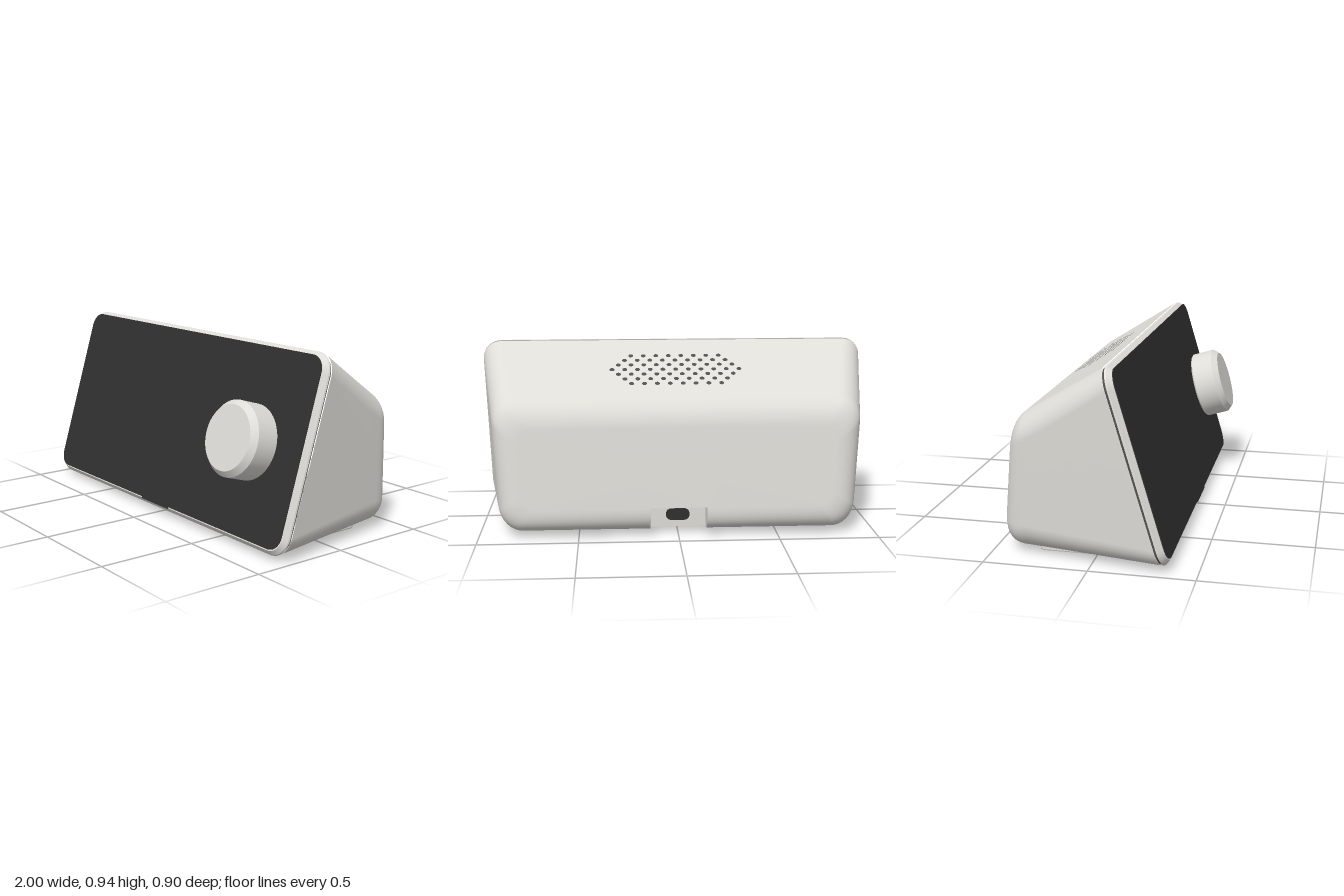
import * as THREE from 'three';
import { mergeGeometries, toCreasedNormals } from 'three/addons/utils/BufferGeometryUtils.js';

const mat = (name, color, side = THREE.FrontSide) => {
  const m = new THREE.MeshStandardMaterial({ color, side });
  m.name = name;
  return m;
};

// Rounded-rectangle cross-section between a bottom and a top point, each [z, y]
function ring(B, T, W, R) {
  const h = Math.hypot(T[0] - B[0], T[1] - B[1]);
  const flat = [];
  for (const x of [-0.53, -0.16, 0.16, 0.53]) flat.push([x, 0]);
  const corners = [[W - R, R, -90], [W - R, h - R, 0], [R - W, h - R, 90], [R - W, R, 180]];
  for (const [cx, cy, start] of corners) {
    for (let i = 0; i <= 8; i++) {
      const a = (start + i * 11.25) * Math.PI / 180;
      flat.push([cx + R * Math.cos(a), cy + R * Math.sin(a)]);
    }
  }
  return flat.map(([x, v]) => new THREE.Vector3(x,
    B[1] + (T[1] - B[1]) * v / h, B[0] + (T[0] - B[0]) * v / h));
}

// Skin over rings ordered front to back
function loft(rings, { skip = () => false, capFront = false, capBack = false } = {}) {
  const n = rings[0].length, pts = rings.flat(), idx = [];
  for (let i = 0; i < rings.length - 1; i++) {
    for (let j = 0; j < n; j++) {
      if (skip(i, j)) continue;
      const k = (j + 1) % n, a = i * n + j, b = i * n + k, d = a + n, c = b + n;
      idx.push(a, d, b, b, d, c);
    }
  }
  const cap = (row, flip) => {
    const mid = new THREE.Vector3();
    rings[row].forEach(p => mid.addScaledVector(p, 1 / n));
    const m = pts.push(mid) - 1;
    for (let j = 0; j < n; j++) {
      const a = row * n + j, b = row * n + (j + 1) % n;
      idx.push(m, flip ? b : a, flip ? a : b);
    }
  };
  if (capFront) cap(0, false);
  if (capBack) cap(rings.length - 1, true);
  const g = new THREE.BufferGeometry().setFromPoints(pts);
  g.setIndex(idx);
  g.computeVertexNormals();
  return g;
}

function roundedRect(w, h, r) {
  const s = new THREE.Shape(), q = Math.PI / 2;
  s.absarc(w / 2 - r, r - h / 2, r, -q, 0);
  s.absarc(w / 2 - r, h / 2 - r, r, 0, q);
  s.absarc(r - w / 2, h / 2 - r, r, q, 2 * q);
  s.absarc(r - w / 2, r - h / 2, r, 2 * q, 3 * q);
  return s;
}

const mix = (a, b, t) => [a[0] + (b[0] - a[0]) * t, a[1] + (b[1] - a[1]) * t];
const bez = (a, b, c, t) => mix(mix(a, b, t), mix(b, c, t), t);

export function createModel() {
  const model = new THREE.Group();
  const shell = mat('warm white plastic', 0xdfddd8);
  const inner = mat('warm white inside', 0xdfddd8, THREE.DoubleSide);
  const black = mat('black panel', 0x303030);
  const grey = mat('dark grey', 0x50504e);
  const add = (name, geo, material, parent = model) => {
    const m = new THREE.Mesh(geo, material);
    m.name = name;
    parent.add(m);
    return m;
  };

  // Housing: straight rows, then a rounded turn into the back face
  const B0 = [0.335, 0.025], T0 = [0.06, 0.932];
  const B1 = [-0.33, 0.025], Bc = [-0.461, 0.025], B2 = [-0.447, 0.155];
  const T1 = [-0.31, 0.703], Tc = [-0.395, 0.651], T2 = [-0.405, 0.552];
  const rings = [];
  for (const t of [0, 0.083, 0.293, 0.55, 0.8]) {
    rings.push(ring(mix(B0, B1, t), mix(T0, T1, t), 1, 0.1 + 0.03 * t));
  }
  for (let i = 0; i <= 10; i++) {
    const s = i / 10;
    rings.push(ring(bez(B1, Bc, B2, s), bez(T1, Tc, T2, s),
      bez([1, 0], [1, 0], [0.87, 0], s)[0], 0.13 - 0.05 * s));
  }
  // Sides draw in with distance from the sloping front
  for (const p of rings.flat()) {
    const d = (0.335 - p.z) * 0.957 + (0.025 - p.y) * 0.289;
    p.x *= 1 - 0.16 * d;
  }
  const openings = (i, j) => (i === 1 && j < 3) || (i >= 5 && j === 1);
  add('housing', loft(rings, { skip: openings, capBack: true }), shell);

  // Long pocket in the underside, open at the bottom
  const pocket = new THREE.BoxGeometry(1.042, 0.14, 0.142);
  const faces = Array.from(pocket.index.array);
  faces.splice(18, 6);
  pocket.setIndex(faces);
  pocket.clearGroups();
  add('undersidePocket', pocket, inner).position.set(0, 0.095, 0.21);

  // Socket notch at the bottom of the back
  const notch = new THREE.Group();
  notch.name = 'socketNotch';
  model.add(notch);
  const half = 0.142;
  const cheek = new THREE.Shape();
  cheek.moveTo(B1[0], B2[1]);
  cheek.lineTo(B1[0], B1[1]);
  cheek.quadraticCurveTo(Bc[0], Bc[1], B2[0], B2[1]);
  for (const s of [-1, 1]) {
    const g = new THREE.ShapeGeometry(cheek).rotateY(-Math.PI / 2);
    // the shape's x runs along z after the turn
    add('notchSide', g, inner, notch).position.x = s * half;
  }
  add('notchWall', new THREE.PlaneGeometry(half * 2, 0.13).rotateY(Math.PI), inner, notch)
    .position.set(0, 0.09, -0.33);
  add('notchCeiling', new THREE.PlaneGeometry(half * 2, 0.117).rotateX(Math.PI / 2), inner, notch)
    .position.set(0, 0.155, -0.3885);
  add('socket', new THREE.ExtrudeGeometry(roundedRect(0.12, 0.06, 0.028),
    { depth: 0.006, bevelEnabled: false }).rotateY(Math.PI), black, notch).position.set(0, 0.09, -0.33);

  // Sloping front: x across, y up the slope, z out of it
  const face = new THREE.Group();
  face.name = 'front';
  face.position.set(0, 0.025, 0.345);
  face.rotation.x = -0.2935;
  model.add(face);
  const H = 0.951;
  const flatRing = (z, inset) => ring([z, inset], [z, H - inset], 1 - inset, 0.1 - inset);
  add('shadowGap', loft([flatRing(0, 0.008), flatRing(-0.012, 0.008)]), grey, face);
  add('bezel', toCreasedNormals(loft(
    [flatRing(0.03, 0.02), flatRing(0.008, 0.002), flatRing(0, 0)],
    { capFront: true, capBack: true }), 0.4), shell, face);
  add('frontPanel', new THREE.ExtrudeGeometry(roundedRect(1.948, 0.906, 0.075),
    { depth: 0.005, bevelEnabled: false, curveSegments: 10 }), black, face).position.set(0, 0.479, 0.029);
  add('fingerLip', new THREE.BoxGeometry(0.24, 0.012, 0.012), black, face).position.set(0, 0.022, 0.026);

  // Knob on a short shaft
  const knob = new THREE.Group();
  knob.name = 'knob';
  knob.position.set(0.652, 0.473, 0);
  face.add(knob);
  const profile = [[0, 0.054], [0.175, 0.054], [0.183, 0.062], [0.183, 0.1755], [0.157, 0.205], [0, 0.205]]
    .map(p => new THREE.Vector2(...p));
  add('knobDial', toCreasedNormals(new THREE.LatheGeometry(profile, 64).rotateX(Math.PI / 2), 0.4), shell, knob);
  add('knobShaft', new THREE.CylinderGeometry(0.053, 0.053, 0.05, 32).rotateX(Math.PI / 2), shell, knob)
    .position.z = 0.04;

  // Speaker holes in staggered rows on the top slope
  const grille = new THREE.Group();
  grille.name = 'speakerGrille';
  grille.position.set(0, 0.804, -0.152);
  grille.rotation.x = -Math.PI / 2 - 0.548;
  model.add(grille);
  const holes = [];
  [8, 9, 10, 11, 10, 9, 8].forEach((count, r) => {
    for (let i = 0; i < count; i++) {
      holes.push(new THREE.CircleGeometry(0.0125, 14)
        .translate((i - (count - 1) / 2) * 0.065, (r - 3) * 0.0365, 0.004));
    }
  });
  add('speakerHoles', mergeGeometries(holes), grey, grille);

  // Two feet with screw wells
  for (const s of [-1, 1]) {
    const shape = roundedRect(0.16, 0.505, 0.03);
    for (const e of [-1, 1]) {
      const well = new THREE.Path();
      well.absarc(0, e * 0.2, 0.03, 0, Math.PI * 2, true);
      shape.holes.push(well);
    }
    const g = new THREE.ExtrudeGeometry(shape, { depth: 0.014, bevelSize: 0.008,
      bevelThickness: 0.008, bevelOffset: -0.008, bevelSegments: 2, curveSegments: 8 });
    add('foot', g.rotateX(Math.PI / 2), shell).position.set(s * 0.73, 0.022, -0.032);
  }
  return model;
}
